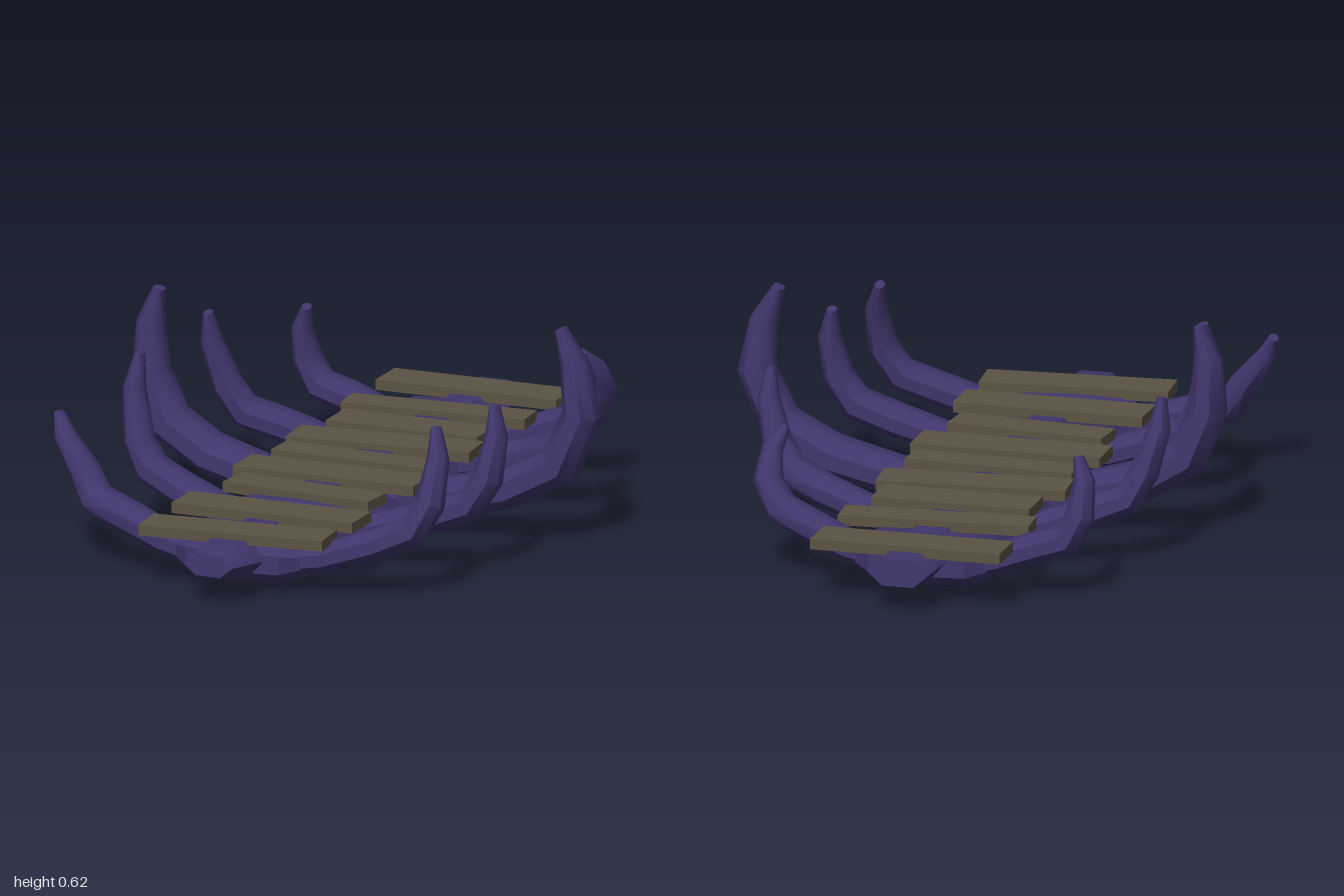
import * as THREE from 'three';
import { toCreasedNormals } from 'three/addons/utils/BufferGeometryUtils.js';

const CX = -0.045; // the spine sits slightly off centre

const bone = new THREE.MeshStandardMaterial({ color: 0x40366c });
bone.name = 'purple bone';
const wood = new THREE.MeshStandardMaterial({ color: 0x5b5344 });
wood.name = 'weathered wood';

// Loft elliptical rings along a path. Rows are [x, y, z, halfWidth, halfHeight].
function loft(rows, widthAxis, sides, crease, phase = 0) {
  const pts = rows.map(r => new THREE.Vector3(r[0], r[1], r[2]));
  const pos = [], idx = [];
  rows.forEach((r, i) => {
    const t = pts[Math.min(i + 1, pts.length - 1)].clone().sub(pts[Math.max(i - 1, 0)]).normalize();
    const s = widthAxis.clone().addScaledVector(t, -widthAxis.dot(t)).normalize();
    const u = t.clone().cross(s);
    for (let j = 0; j < sides; j++) {
      const a = (j / sides) * Math.PI * 2 + phase;
      const p = pts[i].clone().addScaledVector(s, Math.cos(a) * r[3]).addScaledVector(u, Math.sin(a) * r[4]);
      pos.push(p.x, p.y, p.z);
    }
  });
  const last = (rows.length - 1) * sides, c0 = rows.length * sides;
  pos.push(...pts[0].toArray(), ...pts[pts.length - 1].toArray());
  for (let j = 0; j < sides; j++) {
    const k = (j + 1) % sides;
    for (let b = 0; b < last; b += sides) {
      idx.push(b + j, b + k, b + sides + j, b + k, b + sides + k, b + sides + j);
    }
    idx.push(c0, k, j, c0 + 1, last + j, last + k);
  }
  const g = new THREE.BufferGeometry();
  g.setAttribute('position', new THREE.Float32BufferAttribute(pos, 3));
  g.setIndex(idx);
  return toCreasedNormals(g, crease);
}

function add(parent, geometry, material, name) {
  const m = new THREE.Mesh(geometry, material);
  m.name = name;
  parent.add(m);
  return m;
}

const X = new THREE.Vector3(1, 0, 0), Z = new THREE.Vector3(0, 0, 1);

// A curved claw-like rib from the spine out to an elbow, then up to its tip.
function ribGeometry(rootZ, elbow, tip, size) {
  const [ex, ey, ez] = elbow, rx = CX + Math.sign(ex) * 0.1;
  const rows = [];
  const run = [[0, 0.085, 0.08, 0.06], [0.32, 0.1, 0.08, 0.056], [0.64, 0.145, 0.08, 0.06], [0.89, 0.225, 0.075, 0.062]];
  for (const [f, y, w, h] of run) {
    rows.push([rx + (ex - rx) * f, Math.min(y, ey * (0.3 + 0.45 * f)), rootZ + (ez - rootZ) * f * f, w * size, h * size]);
  }
  rows.push([ex, ey, ez, 0.065 * size, 0.055 * size]);
  const bow = 0.015 * Math.sign(ex);
  rows.push([ex + (tip[0] - ex) * 0.58 + bow, ey + (tip[1] - ey) * 0.6, ez + (tip[2] - ez) * 0.55, 0.045 * size, 0.04 * size]);
  rows.push([...tip, 0.024 * size, 0.018 * size]);
  return loft(rows, Z, 8, 0.85, Math.PI / 8);
}

export function createModel() {
  const model = new THREE.Group();
  model.name = 'ribcageBridge';

  // Rib pairs, back to front: root z, then elbow and tip for each side
  const pairs = [
    { z: -0.72, size: 0.76, right: [[-0.49, 0.24, -0.71], [-0.475, 0.4, -0.67]], left: [[0.43, 0.26, -0.66], [0.405, 0.385, -0.57]] },
    { z: -0.39, size: 0.78, right: [[-0.56, 0.26, -0.31], [-0.6, 0.47, -0.27]], left: [[0.505, 0.27, -0.32], [0.53, 0.47, -0.28]] },
    { z: 0, size: 1, right: [[-0.655, 0.365, 0], [-0.63, 0.605, 0]], left: [[0.655, 0.38, 0], [0.59, 0.62, 0]] },
    { z: 0.39, size: 0.8, right: [[-0.535, 0.27, 0.36], [-0.545, 0.51, 0.33]], left: [[0.525, 0.27, 0.36], [0.53, 0.47, 0.32]] },
    { z: 0.74, size: 0.78, right: [[-0.57, 0.25, 0.66], [-0.665, 0.4, 0.62]], left: [[0.485, 0.27, 0.67], [0.47, 0.47, 0.59]] },
  ];

  // Spine, swelling between the vertebrae
  const spine = [
    [1, 0.115, 0.075, 0.035], [0.96, 0.112, 0.085, 0.05], [0.85, 0.1, 0.1, 0.066], [0.74, 0.095, 0.085, 0.066],
    [0.56, 0.1, 0.1, 0.068], [0.39, 0.095, 0.09, 0.066], [0.2, 0.1, 0.1, 0.068], [0, 0.095, 0.09, 0.068],
    [-0.2, 0.1, 0.1, 0.068], [-0.39, 0.095, 0.09, 0.066], [-0.56, 0.1, 0.1, 0.068], [-0.72, 0.1, 0.09, 0.066],
    [-0.85, 0.11, 0.09, 0.06], [-1, 0.118, 0.09, 0.045],
  ].map(([z, y, w, h]) => [CX, y, z, w, h]);
  add(model, loft(spine, X, 6, 0.9), bone, 'spine');

  for (const p of pairs) {
    // Faceted vertebra where the rib pair meets the spine
    const s = p.z === 0 ? 1.08 : 1, cy = p.z === 0 ? 0.076 : 0.088;
    const knob = [[-0.19, 0.055, 0.045], [-0.14, 0.105, 0.068], [0, 0.115, 0.074], [0.14, 0.105, 0.068], [0.19, 0.055, 0.045]]
      .map(([x, w, h]) => [CX + x, cy, p.z, w * s, h * s]);
    add(model, loft(knob, Z, 8, 0.6, Math.PI / 8), bone, 'vertebra');
    add(model, ribGeometry(p.z, ...p.right, p.size), bone, 'rightRib');
    add(model, ribGeometry(p.z, ...p.left, p.size), bone, 'leftRib');
  }

  // Planks laid over the spine: z, length, depth, turn
  const planks = [
    [-0.86, 0.55, 0.135, 0], [-0.605, 0.545, 0.105, 0.065], [-0.41, 0.46, 0.135, 0],
    [-0.23, 0.54, 0.13, 0.08], [-0.042, 0.49, 0.1, -0.035], [0.135, 0.55, 0.135, 0],
    [0.33, 0.46, 0.11, -0.08], [0.56, 0.55, 0.135, 0], [0.795, 0.54, 0.13, 0.085],
  ];
  for (const [z, length, depth, turn] of planks) {
    const plank = add(model, new THREE.BoxGeometry(length, 0.03, depth), wood, 'plank');
    plank.position.set(CX, 0.16, z);
    plank.rotation.y = turn;
  }
  return model;
}
